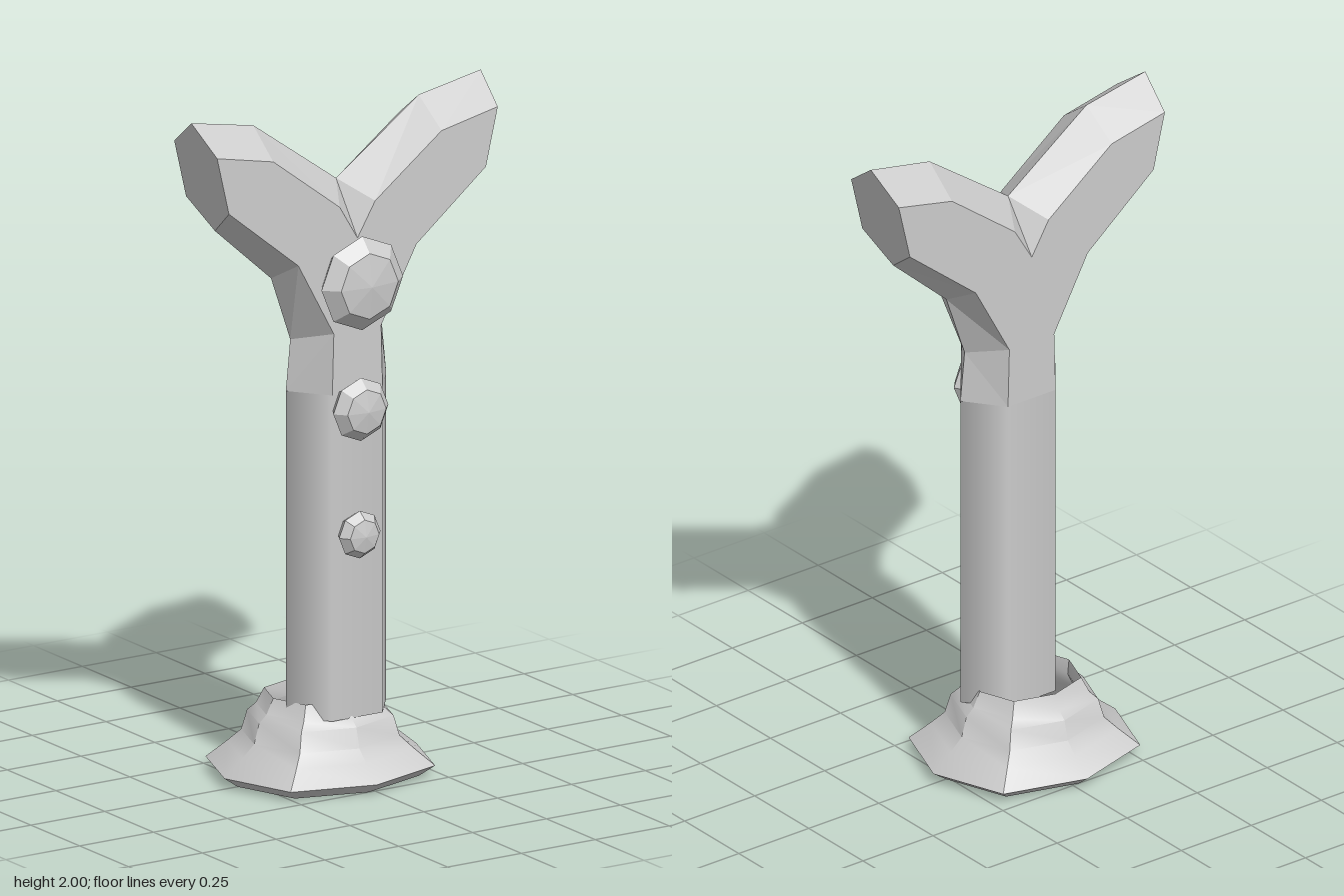
import * as THREE from 'three';
import { toCreasedNormals } from 'three/addons/utils/BufferGeometryUtils.js';

const MID = 0.05, HALF = 0.11; // depth centre and half depth of the post
const material = new THREE.MeshStandardMaterial({ color: 0xcccccc });
const flat = new THREE.MeshStandardMaterial({ color: 0xcccccc, flatShading: true });
const thin = new THREE.MeshStandardMaterial({ color: 0xcccccc, side: THREE.DoubleSide });

function add(group, name, geometry, mat) {
  const mesh = new THREE.Mesh(geometry, mat);
  mesh.name = name;
  group.add(mesh);
  return mesh;
}

// One arm of the fork: hexagonal sections swept from the tip to the neck.
// Each row holds x, y of: top ridge, upper face edge, lower face edge, bottom ridge.
const sections = [
  [[0.49, 2.0], [0.475, 1.92], [0.435, 1.75], [0.41, 1.67]],
  [[0.28, 1.96], [0.285, 1.88], [0.2, 1.56], [0.22, 1.5]],
  [[0, 1.76], [0.06, 1.71], [0.08, 1.34], [0.155, 1.31]],
  [[0, 1.76], [0, 1.61], [0.085, 1.16], [0.17, 1.16]],
];

function armGeometry(side) {
  const at = ([x, y], z) => new THREE.Vector3(x * side, y, MID + z * HALF);
  const rings = sections.map(([t, u, l, b]) =>
    [at(t, 0), at(u, 1), at(l, 1), at(b, 0), at(l, -1), at(u, -1)]);
  const points = [];
  const tri = (a, b, c) => {
    if (new THREE.Triangle(a, b, c).getArea() < 1e-7) return;
    points.push(...(side > 0 ? [a, b, c] : [a, c, b]));
  };
  for (let i = 0; i < rings.length - 1; i++) {
    for (let j = 0; j < 6; j++) {
      const k = (j + 1) % 6;
      tri(rings[i][j], rings[i + 1][j], rings[i + 1][k]);
      tri(rings[i][j], rings[i + 1][k], rings[i][k]);
    }
  }
  // Tip cap, and the front and back of the neck down to the shaft
  for (let j = 1; j < 5; j++) tri(rings[0][0], rings[0][j], rings[0][j + 1]);
  const neck = rings[rings.length - 1];
  tri(neck[1], at([0, 1.16], 1), neck[2]);
  tri(neck[5], neck[4], at([0, 1.16], -1));
  const geometry = new THREE.BufferGeometry().setFromPoints(points);
  geometry.computeVertexNormals();
  return geometry;
}

// Eight-sided hollow foot, wider than deep, with slightly swollen diagonals
function footGeometry() {
  const profile = [
    [0.225, 0.02], [0.25, 0.004], [0.29, 0.035], [0.235, 0.085], [0.2, 0.12],
    [0.185, 0.178], [0.163, 0.2], [0.142, 0.245], [0.138, 0.2], [0.16, 0.15],
    [0.185, 0.09], [0.225, 0.02],
  ].map(([r, y]) => new THREE.Vector2(r, y));
  const geometry = new THREE.LatheGeometry(profile, 8);
  const p = geometry.attributes.position;
  for (let i = 0; i < p.count; i++) {
    const x = p.getX(i), z = p.getZ(i);
    const swell = Math.min(Math.abs(x), Math.abs(z)) > 0.01 ? 1.065 : 1;
    p.setXYZ(i, x * swell * 1.12, p.getY(i), z * swell);
  }
  geometry.deleteAttribute('normal');
  geometry.deleteAttribute('uv');
  return toCreasedNormals(geometry, 0.6);
}

// Faceted dome facing the front
function studGeometry(r, depth) {
  const profile = [[0.8, 0], [1, 0.42], [0.7, 0.85], [0, 1]]
    .map(([a, b]) => new THREE.Vector2(a * r, b * depth));
  return new THREE.LatheGeometry(profile, 8).rotateX(Math.PI / 2);
}

export function createModel() {
  const group = new THREE.Group();
  group.name = 'forkedPost';

  // Foot
  add(group, 'foot', footGeometry(), thin).position.x = -0.02;

  // Flattened six-sided shaft with smooth shading
  const shaft = new THREE.CylinderGeometry(0.17, 0.17, 0.96, 6, 1, false, Math.PI / 2);
  shaft.scale(1, 1, HALF / (0.17 * Math.sin(Math.PI / 3)));
  add(group, 'shaft', shaft, material).position.set(0, 0.68, MID);

  // Forked top
  add(group, 'leftArm', armGeometry(1), flat);
  add(group, 'rightArm', armGeometry(-1), flat);

  // Studs down the front: height, radius, depth
  [['largeStud', 1.488, 0.138, 0.09], ['middleStud', 1.115, 0.093, 0.073], ['smallStud', 0.745, 0.07, 0.06]]
    .forEach(([name, y, r, depth]) => {
      add(group, name, studGeometry(r, depth), flat).position.set(-0.01, y, 0.162);
    });

  return group;
}
